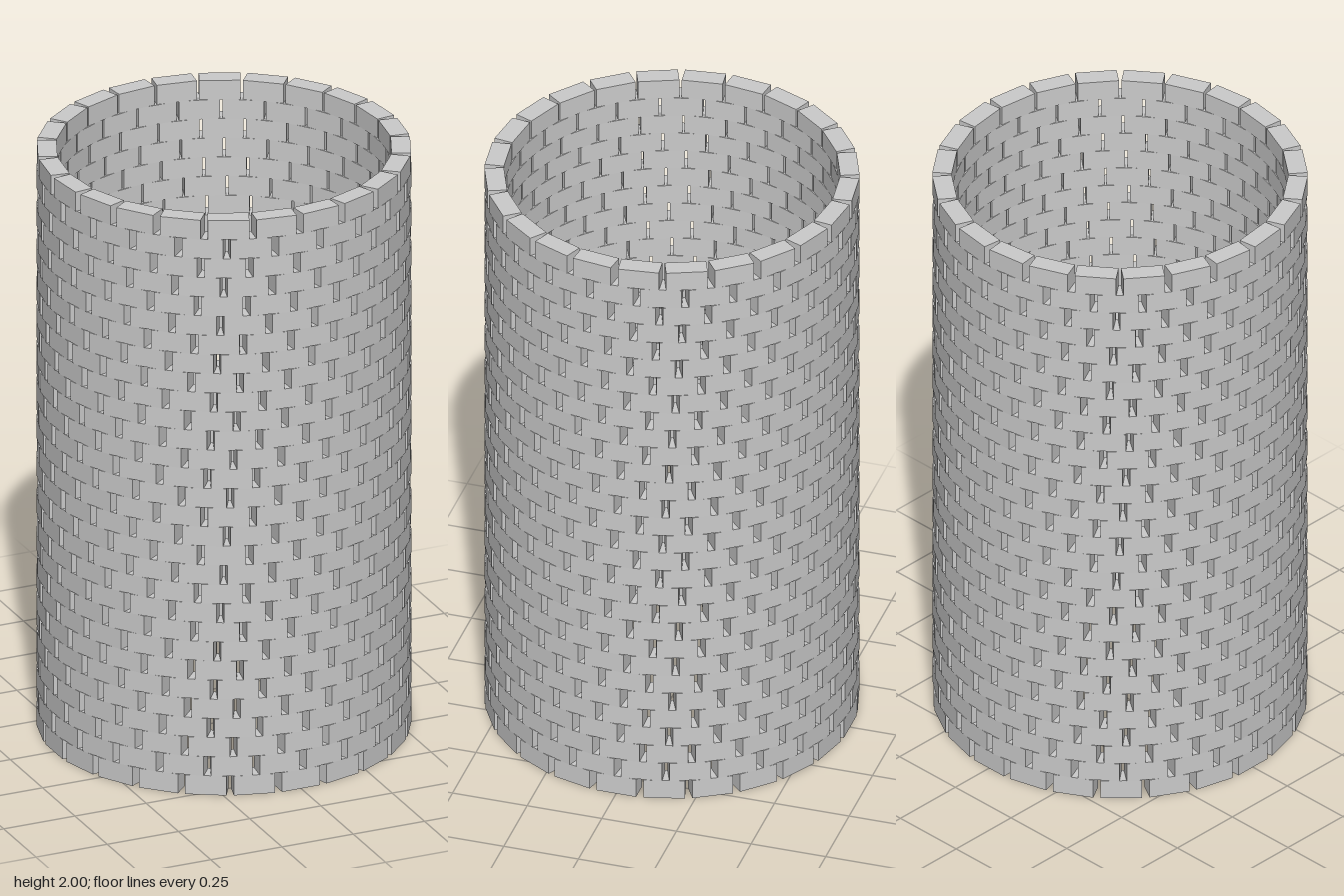
import * as THREE from 'three';
import { mergeGeometries } from 'three/addons/utils/BufferGeometryUtils.js';

const COURSES = 30;
const BRICKS = 24;
const HEIGHT = 2 / COURSES;
const WIDTH = 0.133;
const INNER = 0.534;
const OUTER = 0.5963;
const TWIST = THREE.MathUtils.degToRad(8); // turn from one course to the next

// One ring of straight bricks with open joints between them
function courseGeometry() {
  const bricks = [];
  for (let i = 0; i < BRICKS; i++) {
    const brick = new THREE.BoxGeometry(WIDTH, HEIGHT, OUTER - INNER);
    brick.translate(0, HEIGHT / 2, (INNER + OUTER) / 2);
    brick.rotateY((i / BRICKS) * Math.PI * 2);
    bricks.push(brick);
  }
  return mergeGeometries(bricks);
}

export function createModel() {
  const tower = new THREE.Group();
  tower.name = 'brickTower';
  const material = new THREE.MeshStandardMaterial({ color: 0xcccccc });
  const geometry = courseGeometry();

  // Stack the courses, each turned a little past half a brick
  for (let row = 0; row < COURSES; row++) {
    const course = new THREE.Mesh(geometry, material);
    course.name = `brickCourse${row + 1}`;
    course.position.y = row * HEIGHT;
    course.rotation.y = row * TWIST;
    tower.add(course);
  }
  return tower;
}
